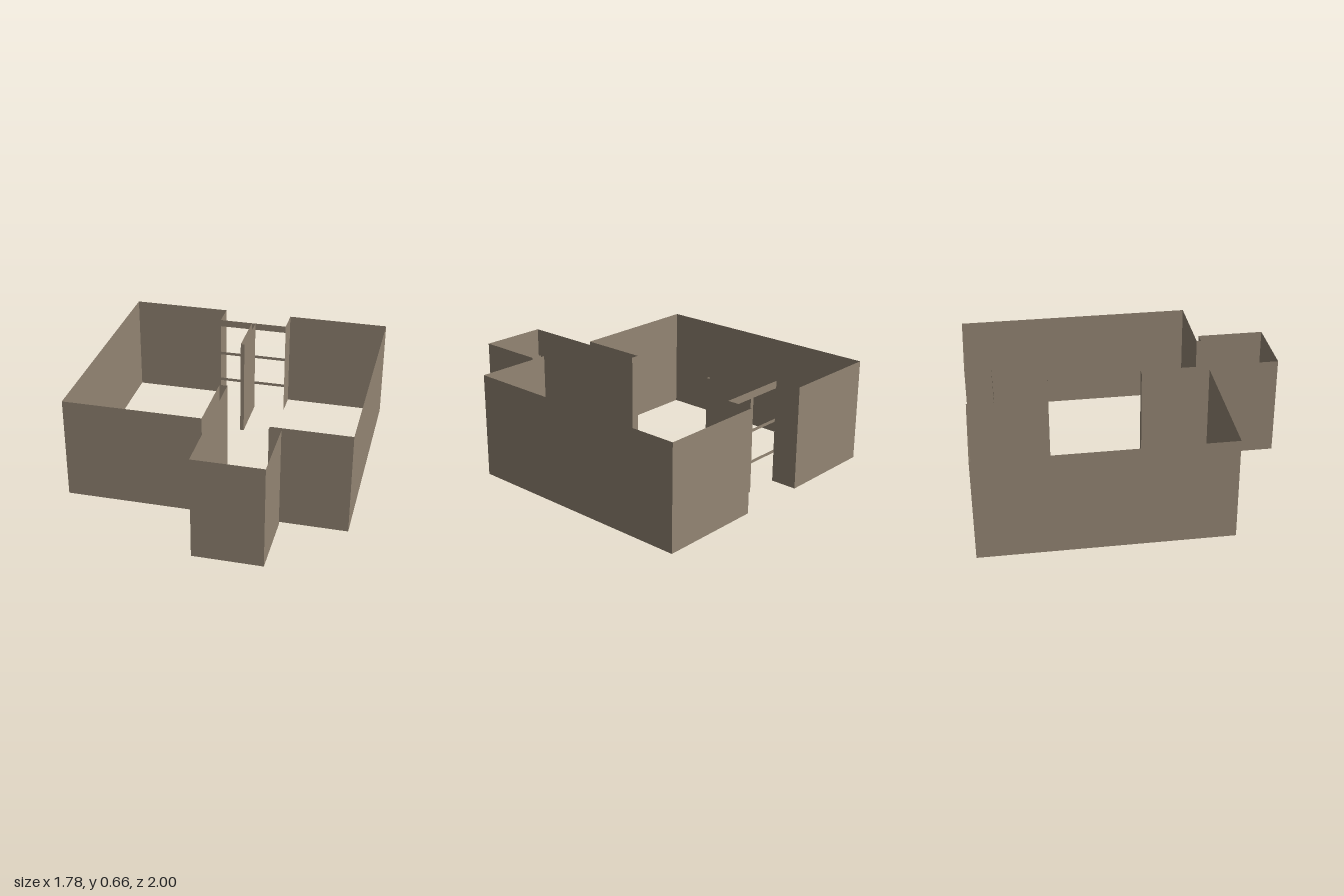
import * as THREE from 'three';
import { mergeGeometries } from 'three/addons/utils/BufferGeometryUtils.js';

const HEIGHT = 0.66;

const plaster = new THREE.MeshStandardMaterial({ color: 0x948674, side: THREE.DoubleSide });
plaster.name = 'taupe plaster';

// Upright sheet that follows a floor-plan path of [x, z] points
function wall(name, path, y0 = 0, y1 = HEIGHT) {
  const sheets = [];
  for (let i = 0; i < path.length - 1; i++) {
    const [ax, az] = path[i];
    const [bx, bz] = path[i + 1];
    const sheet = new THREE.PlaneGeometry(Math.hypot(bx - ax, bz - az), y1 - y0);
    sheet.rotateY(-Math.atan2(bz - az, bx - ax));
    sheet.translate((ax + bx) / 2, (y0 + y1) / 2, (az + bz) / 2);
    sheets.push(sheet);
  }
  const mesh = new THREE.Mesh(mergeGeometries(sheets), plaster);
  mesh.name = name;
  return mesh;
}

export function createModel() {
  const model = new THREE.Group();
  model.name = 'roomWalls';

  model.add(
    // Right half of the room, from the window recess round to the partition
    wall('rightRoomWalls', [[-0.24, -0.83], [-0.24, -1], [-0.89, -1], [-0.89, 0.54], [-0.015, 0.54]]),
    // Thin partition that reaches into the room
    wall('partition', [[-0.015, 0.54], [-0.015, 0.105], [0.035, 0.105], [0.035, 0.54]]),
    // Projecting entrance bay, with the small door jamb
    wall('entranceBay', [[0.035, 0.54], [0.035, 1], [0.47, 1], [0.47, 0.568], [0.395, 0.568], [0.395, 0.54]]),
    // Left half of the room, back to the window recess
    wall('leftRoomWalls', [[0.395, 0.54], [0.89, 0.54], [0.89, -1], [0.22, -1], [0.22, -0.83]]),
    // Free panel standing in the middle of the window
    wall('dividerPanel', [[0.007, -0.83], [0.007, -0.49], [-0.018, -0.49], [-0.018, -0.83], [0.007, -0.83]]),
  );

  // Lintel and two rails across the window recess
  const span = [[-0.24, -0.83], [0.22, -0.83]];
  for (const [name, y0, y1] of [['lintel', 0.613, HEIGHT], ['upperRail', 0.395, 0.415], ['lowerRail', 0.19, 0.21]]) {
    model.add(wall(name, span, y0, y1));
  }
  return model;
}
